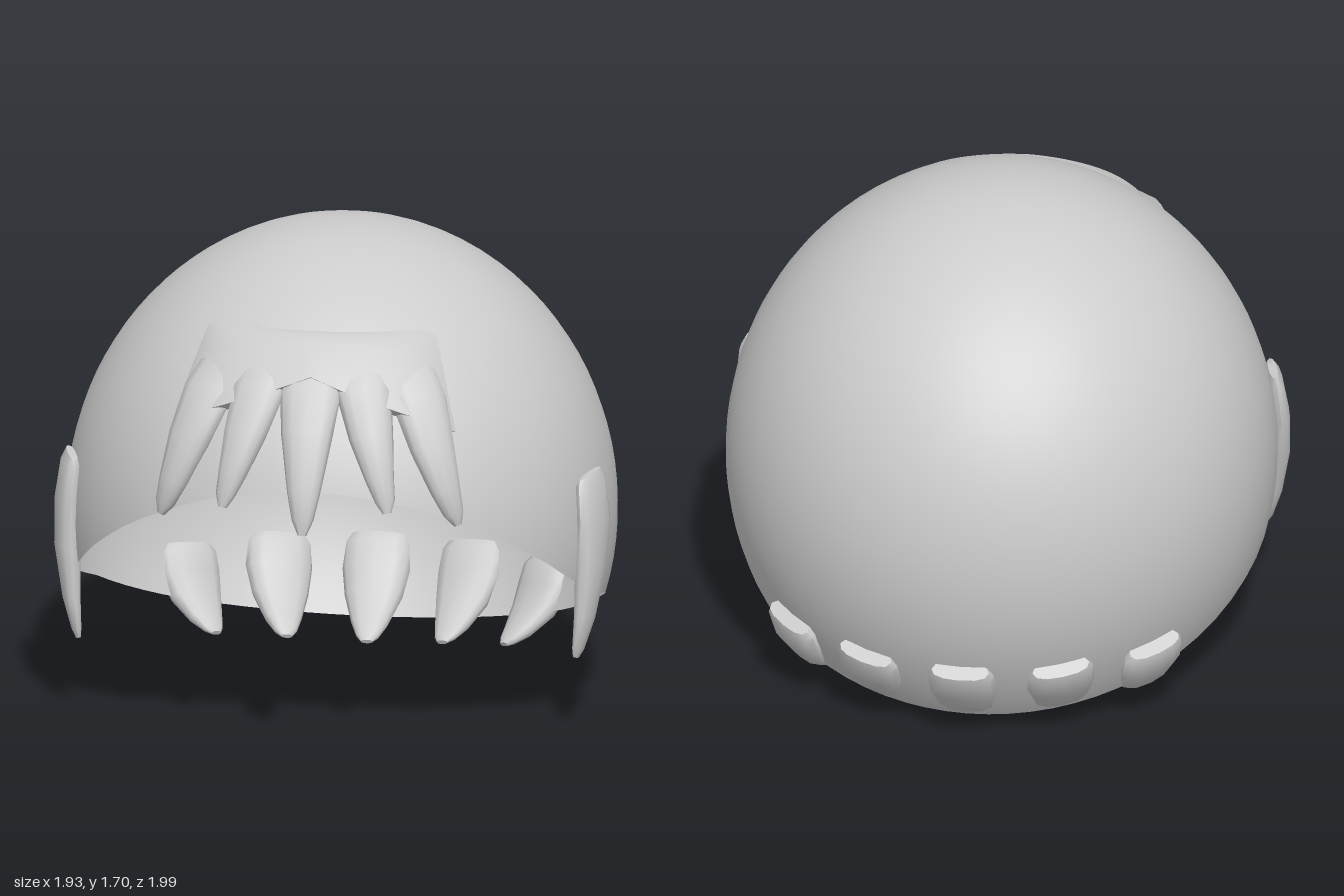
import * as THREE from 'three';
import { toCreasedNormals } from 'three/addons/utils/BufferGeometryUtils.js';

// Ellipsoid that the whole hairpiece follows
const CENTER = new THREE.Vector3(0, 0.68, -0.02);
const RADII = new THREE.Vector3(0.95, 1.02, 0.98);

const surfaceNormal = (p) =>
  p.clone().sub(CENTER).divide(RADII).divide(RADII).normalize();

// Point on the front of the ellipsoid at (x, y), pushed out by offset
function frontPoint(x, y, offset) {
  const dx = x / RADII.x, dy = (y - CENTER.y) / RADII.y;
  const z = CENTER.z + RADII.z * Math.sqrt(Math.max(0, 1 - dx * dx - dy * dy));
  const p = new THREE.Vector3(x, y, z);
  return p.addScaledVector(surfaceNormal(p), offset);
}

function buildGeometry(positions, index) {
  const g = new THREE.BufferGeometry();
  g.setAttribute('position', new THREE.Float32BufferAttribute(positions, 3));
  g.setIndex(index);
  return g;
}

// Height of the lower rim as a function of z
const RIM = [[-0.8, 0.05], [-0.5, 0.19], [-0.2, 0.34], [0, 0.415], [0.15, 0.45],
  [0.25, 0.49], [0.4, 0.57], [0.6, 0.72], [0.78, 0.87], [0.91, 1.0]];
function rimHeight(z) {
  let i = 0;
  while (i < RIM.length - 2 && z > RIM[i + 1][0]) i++;
  const [z0, y0] = RIM[i], [z1, y1] = RIM[i + 1];
  return y0 + (y1 - y0) * (z - z0) / (z1 - z0);
}

// Open dome: every meridian runs from the crown down to the rim
function domeGeometry(around = 64, down = 28) {
  const at = (phi, theta) => new THREE.Vector3(
    Math.sin(theta) * Math.sin(phi), Math.cos(theta), Math.sin(theta) * Math.cos(phi)
  ).multiply(RADII).add(CENTER);
  const pos = [], nor = [], idx = [];
  for (let i = 0; i <= around; i++) {
    const phi = i / around * Math.PI * 2;
    let lo = 0.5, hi = 2.8;
    for (let k = 0; k < 30; k++) {
      const mid = (lo + hi) / 2, p = at(phi, mid);
      if (p.y > rimHeight(p.z)) lo = mid; else hi = mid;
    }
    for (let j = 0; j <= down; j++) {
      const p = at(phi, lo * j / down);
      pos.push(...p.toArray());
      nor.push(...surfaceNormal(p).toArray());
      if (i < around && j < down) {
        const a = i * (down + 1) + j, b = a + down + 1;
        idx.push(a, a + 1, b + 1, a, b + 1, b);
      }
    }
  }
  const g = buildGeometry(pos, idx);
  g.setAttribute('normal', new THREE.Float32BufferAttribute(nor, 3));
  return g;
}

// Tapered lock: flattened oval rings through stations { p, w, t } (half width, half thickness)
function lockGeometry(stations, sides = 12) {
  const pos = [], idx = [], n = stations.length;
  stations.forEach(({ p, w, t }, i) => {
    const tangent = stations[Math.min(i + 1, n - 1)].p.clone()
      .sub(stations[Math.max(i - 1, 0)].p).normalize();
    const out = surfaceNormal(p);
    out.addScaledVector(tangent, -out.dot(tangent)).normalize();
    const side = out.clone().cross(tangent);
    for (let k = 0; k < sides; k++) {
      const a = k / sides * Math.PI * 2, c = Math.cos(a), s = Math.sin(a);
      const q = p.clone()
        .addScaledVector(side, w * Math.sign(c) * Math.abs(c) ** 0.85)
        .addScaledVector(out, t * Math.sign(s) * Math.abs(s) ** 0.85);
      pos.push(...q.toArray());
      if (i < n - 1) {
        const A = i * sides + k, B = i * sides + (k + 1) % sides;
        idx.push(A, B, B + sides, A, B + sides, A + sides);
      }
    }
  });
  // End caps
  const first = n * sides, last = (n - 1) * sides;
  pos.push(...stations[0].p.toArray(), ...stations[n - 1].p.toArray());
  for (let k = 0; k < sides; k++) {
    const m = (k + 1) % sides;
    idx.push(first, m, k, first + 1, last + k, last + m);
  }
  return toCreasedNormals(buildGeometry(pos, idx), 0.9);
}

// Thin raised sheet joining the roots of the fringe locks
function fringeSheetGeometry(cols = 28, rows = 8) {
  const pos = [], idx = [];
  for (let j = 0; j <= rows; j++) {
    const v = Math.min(1, j / (rows - 1));
    for (let i = 0; i <= cols; i++) {
      const u = i / cols * 2 - 1;
      const x = u * (0.4 + 0.1 * v);
      const y = THREE.MathUtils.lerp(1.49, 1.34 - 0.35 * Math.abs(x), v);
      const lift = j === 0 || j === rows ? -0.01 : (0.025 + 0.03 * v) * (1 - u ** 6) - 0.005;
      pos.push(...frontPoint(x, y, lift).toArray());
      if (i < cols && j < rows) {
        const a = j * (cols + 1) + i, b = a + cols + 1;
        idx.push(a, b, b + 1, a, b + 1, a + 1);
      }
    }
  }
  return toCreasedNormals(buildGeometry(pos, idx), 0.9);
}

export function createModel() {
  const hair = new THREE.MeshStandardMaterial({ color: 0xcccccc, side: THREE.DoubleSide });
  hair.name = 'hairGrey';
  const model = new THREE.Group();
  model.name = 'hairpiece';
  const add = (name, geometry) => {
    const mesh = new THREE.Mesh(geometry, hair);
    mesh.name = name;
    model.add(mesh);
  };
  const sidesOf = (x) => (x === 0 ? [['Center', 1]] : [['Left', 1], ['Right', -1]]);

  add('dome', domeGeometry());
  add('fringeSheet', fringeSheetGeometry());

  // Fringe locks: x, y, offset, half width, half thickness
  const fringe = [
    [[0, 1.45, -0.01, 0.09, 0.025], [0, 1.3, 0.015, 0.105, 0.045], [0, 1.18, 0.025, 0.09, 0.045],
      [0, 1.0, 0.03, 0.058, 0.035], [0, 0.91, 0.035, 0.038, 0.025], [0, 0.86, 0.037, 0.015, 0.012]],
    [[0.16, 1.45, -0.01, 0.08, 0.025], [0.18, 1.3, 0.015, 0.095, 0.045], [0.215, 1.17, 0.02, 0.077, 0.045],
      [0.25, 1.04, 0.025, 0.05, 0.035], [0.27, 0.97, 0.028, 0.035, 0.022], [0.277, 0.93, 0.03, 0.015, 0.012]],
    [[0.31, 1.42, -0.015, 0.08, 0.025], [0.36, 1.28, 0.01, 0.1, 0.045], [0.415, 1.13, 0.015, 0.082, 0.045],
      [0.465, 0.99, 0.015, 0.055, 0.035], [0.495, 0.91, 0.012, 0.037, 0.025], [0.51, 0.87, 0.01, 0.015, 0.012]],
  ];
  fringe.forEach((rows, i) => sidesOf(i).forEach(([label, s]) => add(`fringeLock${label}${i}`,
    lockGeometry(rows.map(([x, y, off, w, t]) => ({ p: frontPoint(s * x, y, off), w, t }))))));

  // Side locks hanging in front of the ears: x, y, z, half width, half thickness
  const sideLock = [[0.9, 0.915, 0.262, 0.08, 0.015], [0.905, 0.885, 0.262, 0.1, 0.028],
    [0.914, 0.75, 0.28, 0.1, 0.04], [0.91, 0.6, 0.303, 0.083, 0.043],
    [0.892, 0.42, 0.33, 0.055, 0.03], [0.872, 0.31, 0.348, 0.035, 0.016], [0.865, 0.28, 0.353, 0.018, 0.008]];
  sidesOf(1).forEach(([label, s]) => add(`sideLock${label}`, lockGeometry(
    sideLock.map(([x, y, z, w, t]) => ({ p: new THREE.Vector3(s * x, y, z), w, t })))));

  // Nape locks: root and tip, curling under the back rim
  const nape = [
    [[0, 0.3, -0.945], [0, 0.01, -0.63]],
    [[0.34, 0.305, -0.875], [0.27, 0.035, -0.575]],
    [[0.635, 0.315, -0.68], [0.5, 0.068, -0.47]],
  ];
  // Along, bulge, half width, half thickness
  const napeProfile = [[0, 0, 0.1, 0.035], [0.08, 0.005, 0.115, 0.048], [0.3, 0.03, 0.118, 0.052],
    [0.55, 0.04, 0.1, 0.047], [0.8, 0.025, 0.065, 0.032], [0.94, 0.008, 0.04, 0.018], [1, 0, 0.02, 0.008]];
  nape.forEach(([root, tip], i) => sidesOf(i).forEach(([label, s]) => {
    const a = new THREE.Vector3(...root), b = new THREE.Vector3(...tip);
    a.x *= s;
    b.x *= s;
    add(`napeLock${label}${i}`, lockGeometry(napeProfile.map(([k, bulge, w, t]) => {
      const p = a.clone().lerp(b, k);
      return { p: p.addScaledVector(surfaceNormal(p), bulge), w, t };
    })));
  }));

  return model;
}
